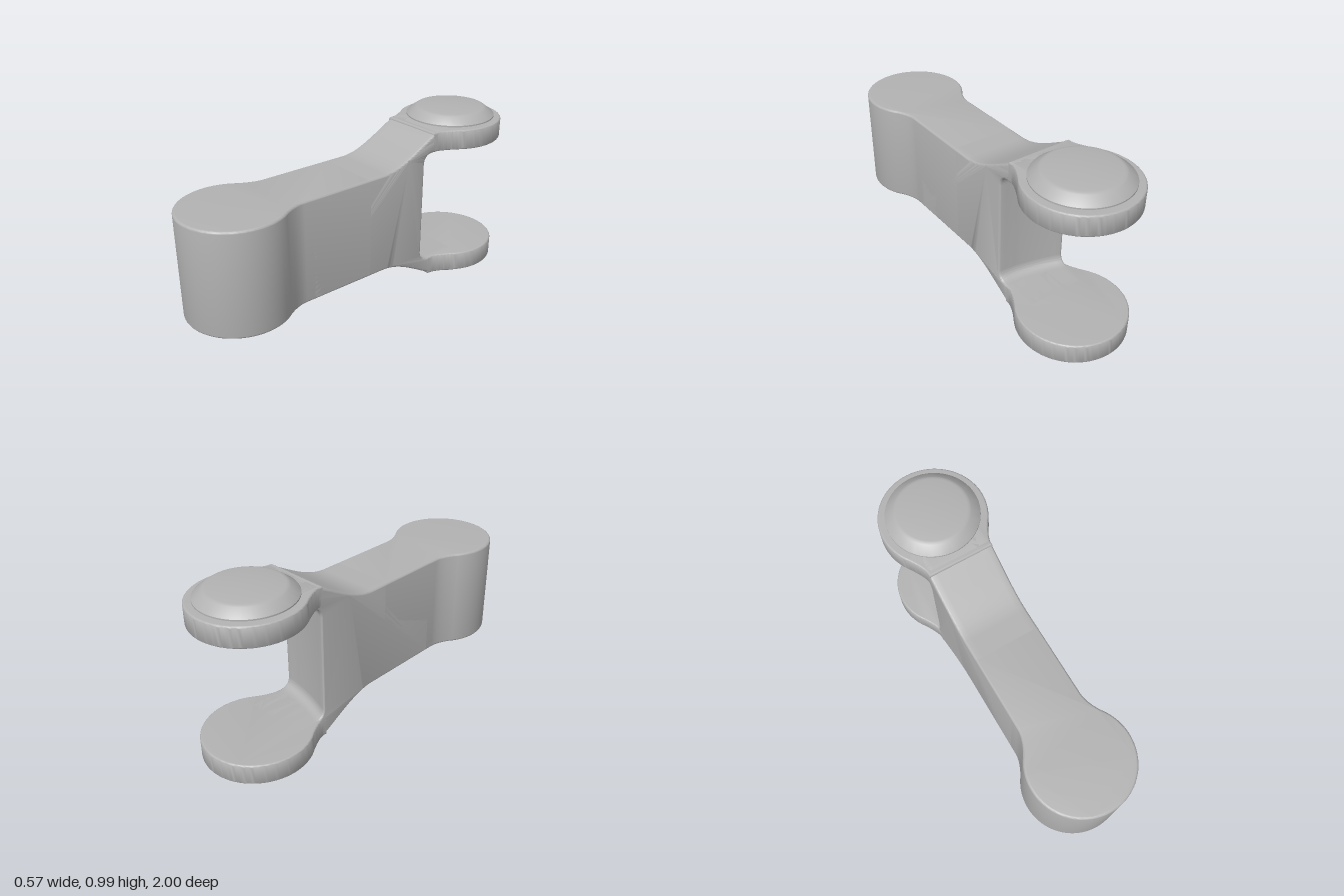
import * as THREE from 'three';
import { toCreasedNormals } from 'three/addons/utils/BufferGeometryUtils.js';

const grey = new THREE.MeshStandardMaterial({ color: 0xb2b2b2 });
grey.name = 'plain grey';

const HALF_WIDTH = 0.18;

function mesh(name, geometry) {
  const m = new THREE.Mesh(geometry, grey);
  m.name = name;
  return m;
}

// Extrusion with softly rounded rims that stays inside the given depth
function roundedExtrude(shape, depth, rim, steps = 1) {
  const g = new THREE.ExtrudeGeometry(shape, {
    depth: depth - 2 * rim, steps, curveSegments: 48,
    bevelEnabled: true, bevelThickness: rim, bevelSize: rim, bevelOffset: -rim, bevelSegments: 4,
  });
  return g.translate(0, 0, rim);
}

// Round plate blending through fillets into a straight neck
function roundWithNeck(r, angle, neckStart, control, neckEnd) {
  const w = HALF_WIDTH, s = new THREE.Shape();
  s.moveTo(w, neckEnd);
  s.lineTo(w, neckStart);
  s.quadraticCurveTo(w, control, r * Math.sin(angle), r * Math.cos(angle));
  s.absarc(0, 0, r, Math.PI / 2 - angle, Math.PI / 2 + angle, true);
  s.quadraticCurveTo(-w, control, -w, neckStart);
  s.lineTo(-w, neckEnd);
  s.closePath();
  return s;
}

// Bar with a forked rear, drawn from the side as (-z, y)
function forkedBar() {
  const s = new THREE.Shape();
  s.moveTo(-0.4, 0.22);
  s.lineTo(0.07, 0.22);
  s.bezierCurveTo(0.2, 0.22, 0.33, 0.12, 0.44, 0.07);
  s.lineTo(0.6, 0.07);
  s.lineTo(0.6, 0.18);
  s.lineTo(0.45, 0.18);
  s.quadraticCurveTo(0.39, 0.18, 0.39, 0.24);
  s.lineTo(0.39, 0.76);
  s.quadraticCurveTo(0.39, 0.82, 0.45, 0.82);
  s.lineTo(0.6, 0.82);
  s.lineTo(0.6, 0.93);
  s.lineTo(0.44, 0.93);
  s.bezierCurveTo(0.33, 0.88, 0.2, 0.78, 0.07, 0.78);
  s.lineTo(-0.4, 0.78);
  s.closePath();
  const g = roundedExtrude(s, 2 * HALF_WIDTH, 0.012, 12);
  g.translate(0, 0, -HALF_WIDTH).rotateY(Math.PI / 2);

  // Slant and hollow the inner wall of the fork
  const p = g.attributes.position;
  for (let i = 0; i < p.count; i++) {
    const x = p.getX(i), y = p.getY(i), z = p.getZ(i);
    if (Math.abs(y - 0.5) < 0.34 && z < -0.36 && z > -0.48) {
      p.setZ(i, z + 0.22 * x + 0.015 * (1 - (x / HALF_WIDTH) ** 2));
    }
  }
  return toCreasedNormals(g, 0.6);
}

// Fork plate with its chamfered, slightly domed pin cap
function forkEnd(name) {
  const group = new THREE.Group();
  group.name = name;
  const plate = roundedExtrude(roundWithNeck(0.285, 0.945, 0.285, 0.25, 0.3), 0.11, 0.01);
  plate.rotateX(-Math.PI / 2).rotateY(Math.PI).translate(0, 0.82, -0.715);
  group.add(mesh('forkPlate', toCreasedNormals(plate, 0.6)));

  const profile = [
    [0.235, 0.92], [0.235, 0.935], [0.246, 0.935], [0.246, 0.942], [0.243, 0.946],
    [0.2, 0.978], [0.192, 0.983], [0.18, 0.985], [0.12, 0.99], [0.06, 0.993], [0, 0.994],
  ].map(([r, y]) => new THREE.Vector2(r, y));
  const cap = new THREE.LatheGeometry(profile, 64).translate(0, 0, -0.715);
  group.add(mesh('pinCap', toCreasedNormals(cap, 0.45)));
  return group;
}

export function createModel() {
  const model = new THREE.Group();
  model.name = 'forkedLink';

  model.add(mesh('forkedBar', forkedBar()));

  // Solid cylindrical front end
  const boss = roundedExtrude(roundWithNeck(0.275, 0.927, 0.285, 0.235, 0.7), 0.56, 0.012);
  boss.rotateX(-Math.PI / 2).translate(0, 0.22, 0.725);
  model.add(mesh('frontBoss', toCreasedNormals(boss, 0.6)));

  // Upper fork end, and the same turned over below
  const upper = forkEnd('upperForkEnd');
  const lower = forkEnd('lowerForkEnd');
  lower.rotation.z = Math.PI;
  lower.position.y = 1;
  model.add(upper, lower);

  return model;
}
